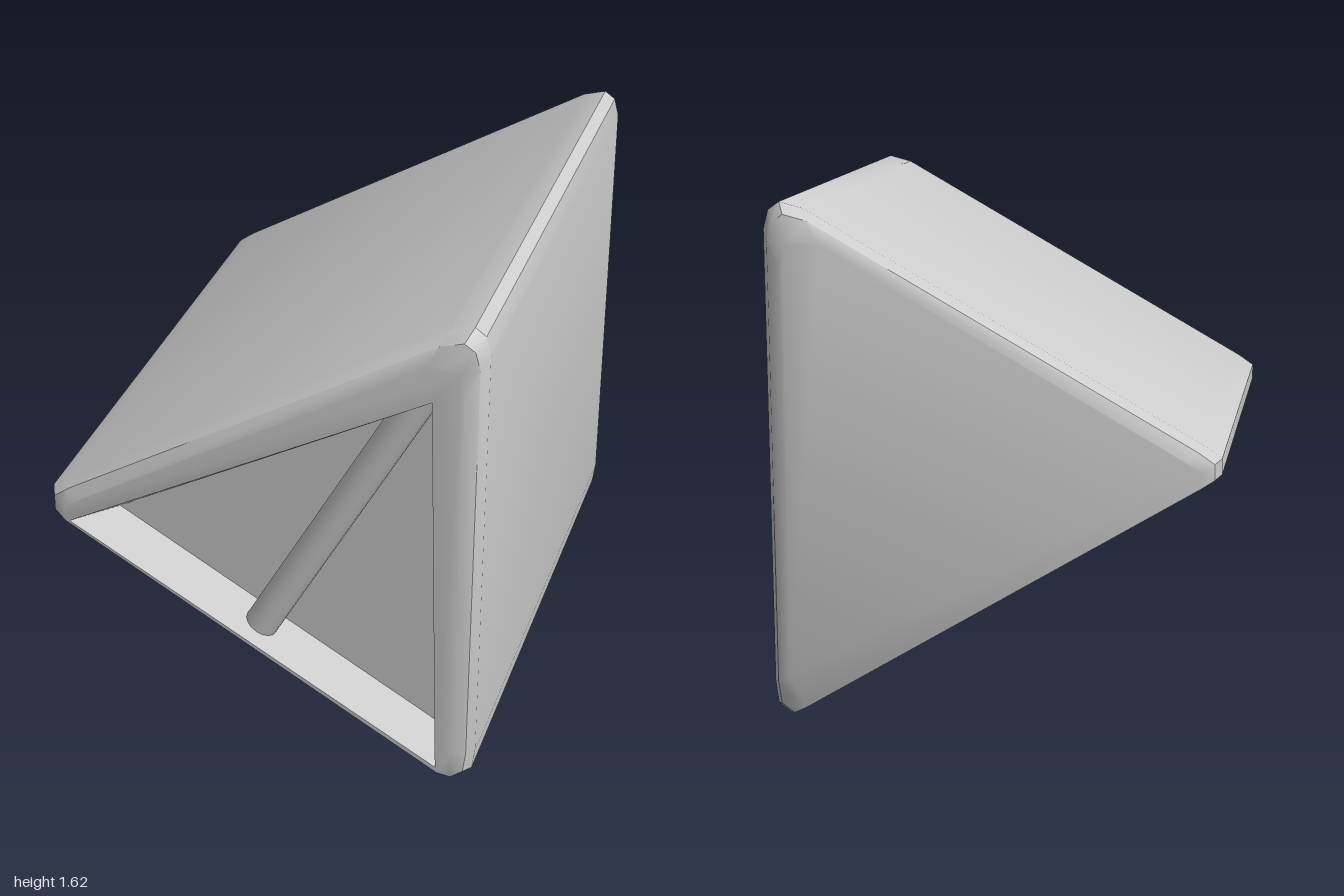
import * as THREE from 'three';
import { toCreasedNormals } from 'three/addons/utils/BufferGeometryUtils.js';

const material = new THREE.MeshStandardMaterial({ color: 0xcccccc });

// Outline of the wedge, counter-clockwise; the third value is its corner:
// 0 = lower, 1 = upper, 2 = left
const outline = [
  [0.64, 0, 0], [0.68, 0.03, 0], [0.69, 0.1, 0],
  [0.705, 1.53, 1], [0.69, 1.59, 1], [0.655, 1.615, 1], [0.58, 1.595, 1],
  [-0.66, 0.885, 2], [-0.71, 0.85, 2], [-0.71, 0.8, 2],
];
// Insets the upper and right sides only, sliding along the lower side
const slide = [[-1, 0.577], [-1, -1.732], [1, -0.577]];

const loopAt = (d, z) => outline.map(([x, y, k]) =>
  new THREE.Vector3(x + slide[k][0] * d, y + slide[k][1] * d, z));

const triangleAt = (points, z) => points.map(([x, y]) => new THREE.Vector3(x, y, z));

// Joins successive loops with quads
function bridge(out, loops) {
  for (let j = 0; j < loops.length - 1; j++) {
    const a = loops[j], b = loops[j + 1], n = a.length;
    for (let i = 0; i < n; i++) {
      const k = (i + 1) % n;
      out.push(a[i], a[k], b[k], a[i], b[k], b[i]);
    }
  }
}

// Closes a loop, optionally around a hole
function cap(out, loop, hole = [], flip = false) {
  const contour = loop.map((p) => new THREE.Vector2(p.x, p.y));
  const inner = hole.map((p) => new THREE.Vector2(p.x, p.y)).reverse();
  const all = [...loop, ...[...hole].reverse()];
  for (const [a, b, c] of THREE.ShapeUtils.triangulateShape(contour, inner.length ? [inner] : [])) {
    if (flip) out.push(all[a], all[c], all[b]);
    else out.push(all[a], all[b], all[c]);
  }
}

function makeMesh(name, points) {
  const geometry = new THREE.BufferGeometry().setFromPoints(points);
  const mesh = new THREE.Mesh(toCreasedNormals(geometry, 0.6), material);
  mesh.name = name;
  return mesh;
}

export function createModel() {
  const group = new THREE.Group();
  group.name = 'wedge';

  // Wedge body with bevelled upper and right edges
  const layers = [[0.06, -1], [0.02, -0.98], [0, -0.935], [0, 0.935], [0.02, 0.98], [0.06, 1]]
    .map(([d, z]) => loopAt(d, z));
  const rim = triangleAt([[0.575, 0.055], [0.545, 1.38], [-0.635, 0.766]], 1);
  const floor = triangleAt([[0.57, 0.055], [0.54, 1.375], [-0.545, 0.715]], 0.79);
  const body = [];
  bridge(body, layers);
  cap(body, layers[0], [], true);
  cap(body, layers[5], rim);
  group.add(makeMesh('body', body));

  // Triangular pocket in the front
  const pocket = [];
  bridge(pocket, [rim, floor]);
  cap(pocket, floor);
  group.add(makeMesh('frontPocket', pocket));

  // Round strut across the pocket
  const start = new THREE.Vector3(-0.05, 0.395, 0.88);
  const end = new THREE.Vector3(0.5, 1.36, 0.88);
  const axis = end.clone().sub(start);
  const strut = new THREE.Mesh(new THREE.CylinderGeometry(0.055, 0.055, axis.length(), 16), material);
  strut.name = 'strut';
  strut.position.copy(start).add(end).multiplyScalar(0.5);
  strut.quaternion.setFromUnitVectors(new THREE.Vector3(0, 1, 0), axis.normalize());
  group.add(strut);

  return group;
}
